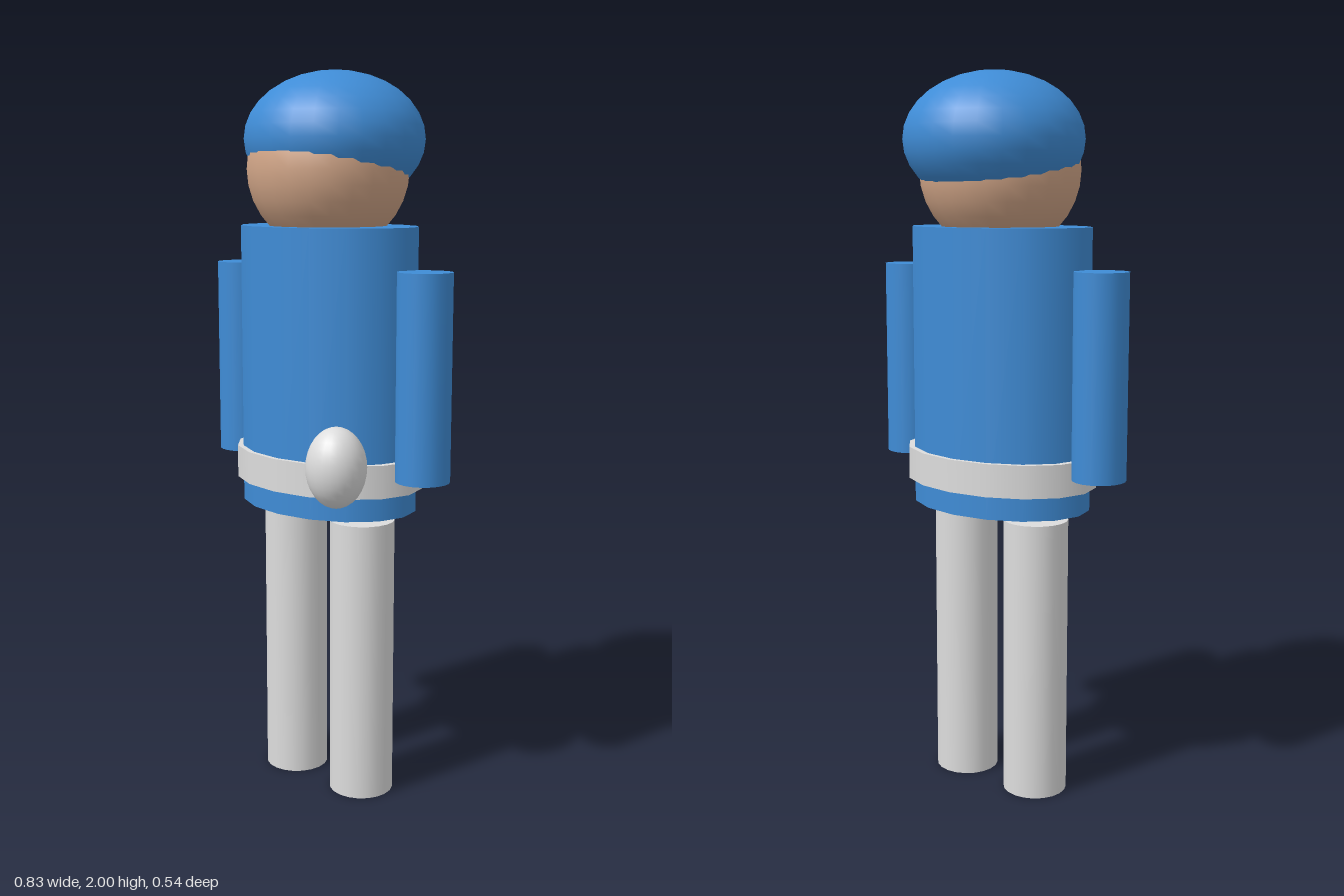
import * as THREE from 'three';

export function createModel() {
  const model = new THREE.Group();
  model.name = 'figure';
  const material = (name, color) => {
    const m = new THREE.MeshStandardMaterial({ color });
    m.name = name;
    return m;
  };
  const blue = material('blue cloth', 0x3f8cd6);
  const white = material('white cloth', 0xdddddd);
  const skin = material('skin', 0xd2a688);
  const Z = 0.003; // body axis

  const add = (name, geometry, mat, x, y, z) => {
    const mesh = new THREE.Mesh(geometry, mat);
    mesh.name = name;
    mesh.position.set(x, y, z);
    model.add(mesh);
  };
  // Upright column with an elliptical section, from y0 to y1
  const column = (name, mat, rx, rz, y0, y1, x = 0, sides = 16) =>
    add(name, new THREE.CylinderGeometry(1, 1, 1, sides).scale(rx, y1 - y0, rz), mat, x, (y0 + y1) / 2, Z);
  const ellipsoid = (name, mat, rx, ry, rz, x, y, z) =>
    add(name, new THREE.SphereGeometry(1, 24, 16).scale(rx, ry, rz), mat, x, y, z);

  // Body
  column('torso', blue, 0.275, 0.202, 0.82, 1.59);
  column('belt', white, 0.294, 0.216, 0.885, 0.975);
  ellipsoid('pouch', white, 0.081, 0.108, 0.081, 0.201, 0.976, 0.188);

  // Limbs
  for (const [side, s] of [['left', 1], ['right', -1]]) {
    column(side + 'Arm', blue, 0.073, 0.073, 0.93, 1.48, s * 0.34, 20);
    column(side + 'Leg', white, 0.09, 0.09, 0, 0.79, s * 0.128, 20);
  }

  // Head, with the cap set slightly back over it
  ellipsoid('head', skin, 0.22, 0.22, 0.22, 0, 1.74, Z);
  ellipsoid('cap', blue, 0.246, 0.18, 0.246, 0, 1.82, -0.023);

  return model;
}
